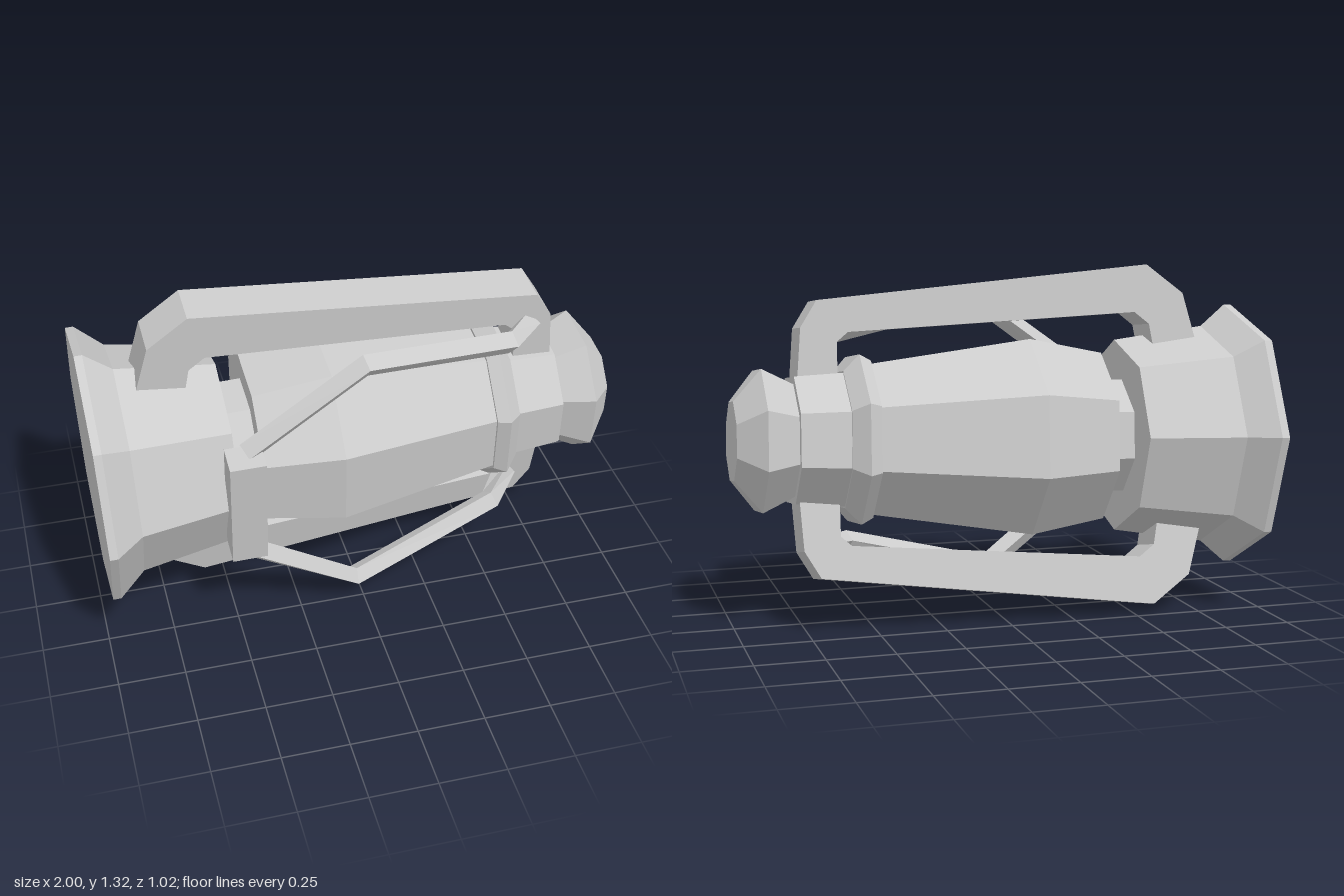
import * as THREE from 'three';

const grey = new THREE.MeshStandardMaterial({ color: 0xcccccc, flatShading: true });

function addMesh(parent, name, geometry) {
  const mesh = new THREE.Mesh(geometry, grey);
  mesh.name = name;
  parent.add(mesh);
  return mesh;
}

// Octagonal solid along x from [position, radius] pairs, closed at both ends
function turned(profile, degrees) {
  const last = profile[profile.length - 1][0];
  const points = [[profile[0][0], 0], ...profile, [last, 0]]
    .map(([s, r]) => new THREE.Vector2(r, s));
  const phi = THREE.MathUtils.degToRad(degrees);
  return new THREE.LatheGeometry(points, 8, phi).rotateZ(-Math.PI / 2);
}

// Square bar swept through a list of points, mitred at the bends
function bar(points, size, outward) {
  const p = points.map((a) => new THREE.Vector3(...a));
  const out = new THREE.Vector3(...outward);
  const positions = [];
  const index = [];
  const h = size / 2;
  p.forEach((point, i) => {
    const before = p[Math.max(i - 1, 0)];
    const after = p[Math.min(i + 1, p.length - 1)];
    const t = after.clone().sub(before).normalize();
    const side = new THREE.Vector3().crossVectors(out, t).normalize();
    const up = new THREE.Vector3().crossVectors(t, side);
    for (const [u, v] of [[h, h], [-h, h], [-h, -h], [h, -h]]) {
      positions.push(...point.clone().addScaledVector(side, u).addScaledVector(up, v).toArray());
    }
    if (i === 0) return;
    const a = (i - 1) * 4;
    for (let k = 0; k < 4; k++) {
      const n = (k + 1) % 4;
      index.push(a + k, a + n, a + 4 + n, a + k, a + 4 + n, a + 4 + k);
    }
  });
  const e = (p.length - 1) * 4;
  index.push(0, 2, 1, 0, 3, 2, e, e + 1, e + 2, e, e + 2, e + 3);
  const geometry = new THREE.BufferGeometry();
  geometry.setAttribute('position', new THREE.Float32BufferAttribute(positions, 3));
  geometry.setIndex(index);
  geometry.computeVertexNormals();
  return geometry;
}

export function createModel() {
  const model = new THREE.Group();
  model.name = 'lantern';

  // Lantern body lying on its side, tipped slightly
  const body = new THREE.Group();
  body.name = 'body';
  body.position.set(0, 0.675, -0.005);
  body.rotation.set(0, 0.005, 0.026);
  model.add(body);

  addMesh(body, 'base', turned([[-0.985, 0.51], [-0.955, 0.51], [-0.855, 0.425], [-0.49, 0.37]], 5.7));
  addMesh(body, 'burnerNeck', turned([[-0.5, 0.23], [-0.37, 0.23]], -15));
  addMesh(body, 'globe', turned([[-0.39, 0.34], [-0.1, 0.395], [0.52, 0.295]], -15));
  addMesh(body, 'collar', turned([[0.5, 0.31], [0.545, 0.335], [0.6, 0.27]], -15));
  addMesh(body, 'chimney', turned([[0.58, 0.265], [0.78, 0.25]], -15));
  addMesh(body, 'cap', turned([[0.77, 0.215], [0.9, 0.28], [0.995, 0.155]], -15));

  // Thick side frames, one above and one below the globe
  const outline = [
    [-0.82, 0.28], [-0.74, 0.55], [-0.59, 0.658], [0.695, 0.51], [0.755, 0.41], [0.77, 0.18],
    [0.62, 0.18], [0.62, 0.36], [0.58, 0.395], [-0.54, 0.475], [-0.6, 0.43], [-0.63, 0.28],
  ].map(([x, y]) => new THREE.Vector2(x, y));
  const frame = new THREE.ExtrudeGeometry(new THREE.Shape(outline), { depth: 0.17, bevelEnabled: false });
  frame.translate(0, 0, -0.085);
  addMesh(body, 'upperFrame', frame).rotation.x = 0.095;
  addMesh(body, 'lowerFrame', frame).rotation.x = Math.PI + 0.22;

  // Plate on the front of the burner, with the two guard bars leaving it
  const plate = addMesh(model, 'burnerPlate', new THREE.BoxGeometry(0.13, 0.48, 0.11));
  plate.position.set(-0.47, 0.645, 0.375);
  plate.rotation.set(0.165, 0, 0.015);

  const arm = addMesh(model, 'plateArm', new THREE.BoxGeometry(0.09, 0.14, 0.2));
  arm.position.set(-0.45, 0.65, 0.25);
  arm.rotation.x = 0.165;

  addMesh(model, 'upperGuardBar', bar(
    [[-0.46, 0.88, 0.38], [-0.04, 1.185, 0.4], [0.55, 1.075, 0.23], [0.67, 1.06, 0.1]],
    0.062, [0, 0.75, 0.66]));
  addMesh(model, 'lowerGuardBar', bar(
    [[-0.46, 0.41, 0.335], [-0.04, 0.115, 0.26], [0.55, 0.275, 0.13], [0.68, 0.29, -0.05]],
    0.062, [0, -0.85, 0.52]));

  return model;
}
